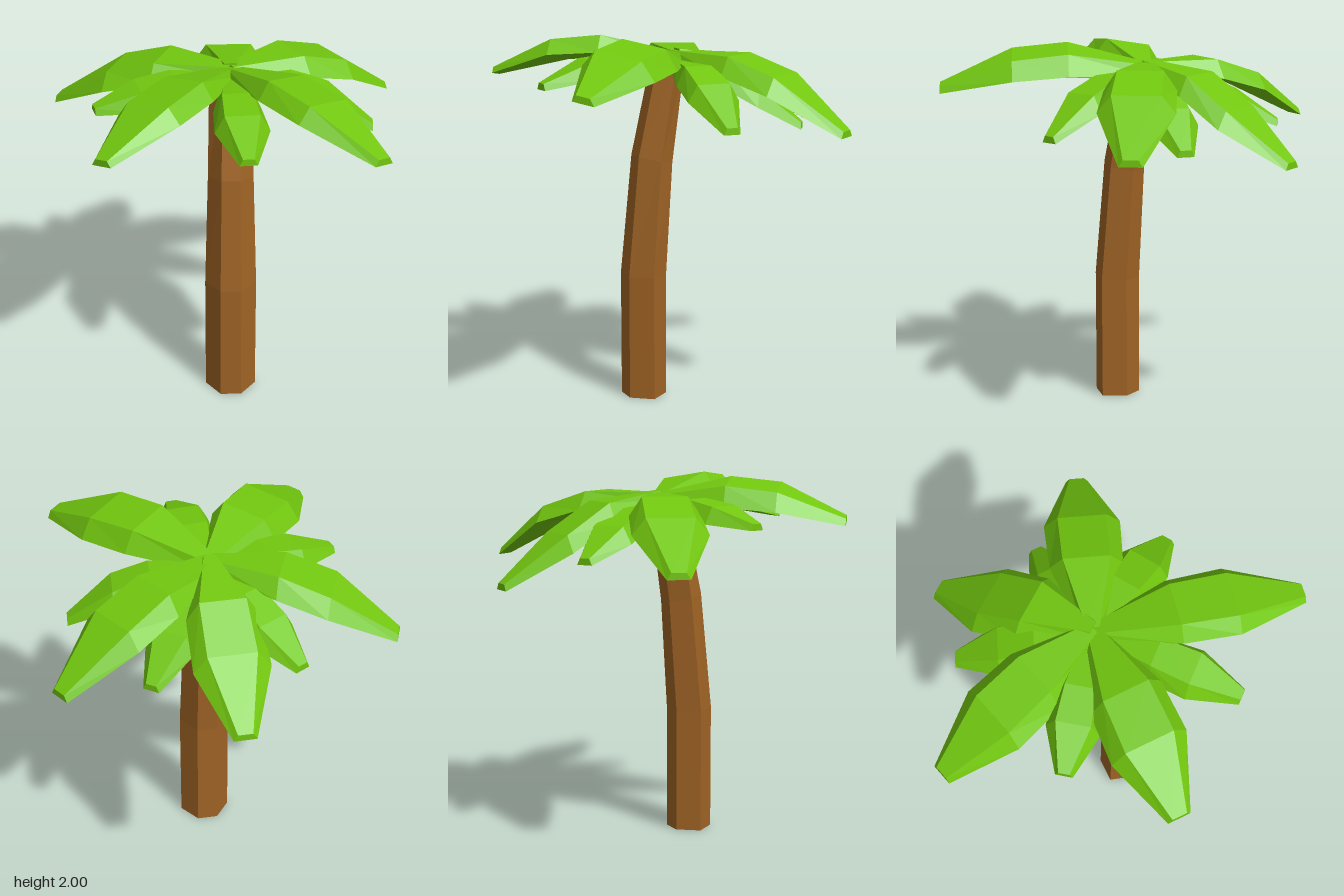
import * as THREE from 'three';

const bark = new THREE.MeshStandardMaterial({ color: 0xa06425 });
bark.name = 'bark brown';
const green = new THREE.MeshStandardMaterial({ color: 0x72c70f });
green.name = 'leaf green';

// Skins a row of equal rings (right-handed around the travel direction) with flat faces and end caps
function loft(rings, material, name) {
  const n = rings[0].length;
  const index = [];
  for (let i = 0; i < rings.length - 1; i++) {
    for (let j = 0; j < n; j++) {
      const k = (j + 1) % n;
      const a = i * n + j, b = i * n + k, c = b + n, d = a + n;
      index.push(a, b, c, a, c, d);
    }
  }
  const last = (rings.length - 1) * n;
  for (let j = 1; j < n - 1; j++) {
    index.push(0, j + 1, j, last, last + j, last + j + 1);
  }
  let geometry = new THREE.BufferGeometry().setFromPoints(rings.flat());
  geometry.setIndex(index);
  geometry = geometry.toNonIndexed();
  geometry.computeVertexNormals();
  const mesh = new THREE.Mesh(geometry, material);
  mesh.name = name;
  return mesh;
}

// Six-sided trunk that bends backwards
function makeTrunk() {
  const hexagon = [[0.057, 0.11], [0.14, 0], [0.057, -0.11], [-0.057, -0.11], [-0.14, 0], [-0.057, 0.11]];
  // height, centre z, width scale, depth scale, tilt
  const stations = [
    [0, 0.223, 1, 1, 0],
    [0.683, 0.223, 1, 1, 0.07],
    [1.32, 0.17, 0.87, 0.9, 0.2],
    [1.84, 0.075, 0.8, 0.7, 0.2],
  ];
  const rings = stations.map(([y, cz, sx, sz, tilt]) =>
    hexagon.map(([x, z]) => new THREE.Vector3(0.031 + x * sx, y + z * tilt, cz + z * sz)));
  return loft(rings, bark, 'trunk');
}

// Leaf with a flat ridge panel and sloping sides; heights are those of the ridge
function makeLeaf(name, tip, heights, widths, steps, roll = 0) {
  const base = new THREE.Vector2(0.03, 0.02);
  const end = new THREE.Vector2(...tip);
  const dir = end.clone().sub(base).normalize();
  const thickness = [0.05, 0.1, 0.09, 0.035];
  const rings = steps.map((t, i) => {
    const p = base.clone().lerp(end, t);
    const w = widths[i];
    const point = (s, drop) => new THREE.Vector3(
      p.x - dir.y * s, heights[i] - drop + roll * s, p.y + dir.x * s);
    return [point(w * 0.64, 0), point(w, thickness[i]), point(-w, thickness[i]), point(-w * 0.64, 0)];
  });
  return loft(rings, green, name);
}

export function createModel() {
  const model = new THREE.Group();
  model.name = 'palmTree';
  model.add(makeTrunk());

  const crown = new THREE.Group();
  crown.name = 'crown';
  model.add(crown);

  // Large upper leaves: name, tip x and z, ridge heights, roll
  const upper = [
    ['upperLeafFrontRight', [-0.605, 0.83], [1.89, 1.965, 1.935, 1.78], -0.17],
    ['upperLeafFrontLeft', [0.755, 0.855], [1.89, 1.975, 1.945, 1.79], 0.17],
    ['upperLeafBackLeft', [0.89, -0.53], [1.9, 1.9, 1.81, 1.55], 0],
    ['upperLeafBack', [0.02, -0.905], [1.91, 1.86, 1.7, 1.45], 0],
    ['upperLeafRight', [-0.905, -0.35], [1.9, 1.9, 1.81, 1.57], 0],
  ];
  for (const [name, tip, heights, roll] of upper) {
    crown.add(makeLeaf(name, tip, heights, [0.05, 0.19, 0.2, 0.06], [0, 0.38, 0.65, 1], roll));
  }

  // Smaller leaves in the gaps below
  const lower = [
    ['lowerLeafFront', [0.105, 0.825], [1.86, 1.9, 1.88, 1.775]],
    ['lowerLeafLeft', [0.785, 0.07], [1.86, 1.85, 1.78, 1.59]],
    ['lowerLeafRight', [-0.675, 0.23], [1.86, 1.88, 1.85, 1.77]],
    ['lowerLeafBackRight', [-0.335, -0.59], [1.86, 1.83, 1.75, 1.6]],
    ['lowerLeafBackLeft', [0.43, -0.53], [1.86, 1.81, 1.71, 1.53]],
  ];
  for (const [name, tip, heights] of lower) {
    crown.add(makeLeaf(name, tip, heights, [0.04, 0.125, 0.14, 0.045], [0, 0.42, 0.68, 1]));
  }
  return model;
}
